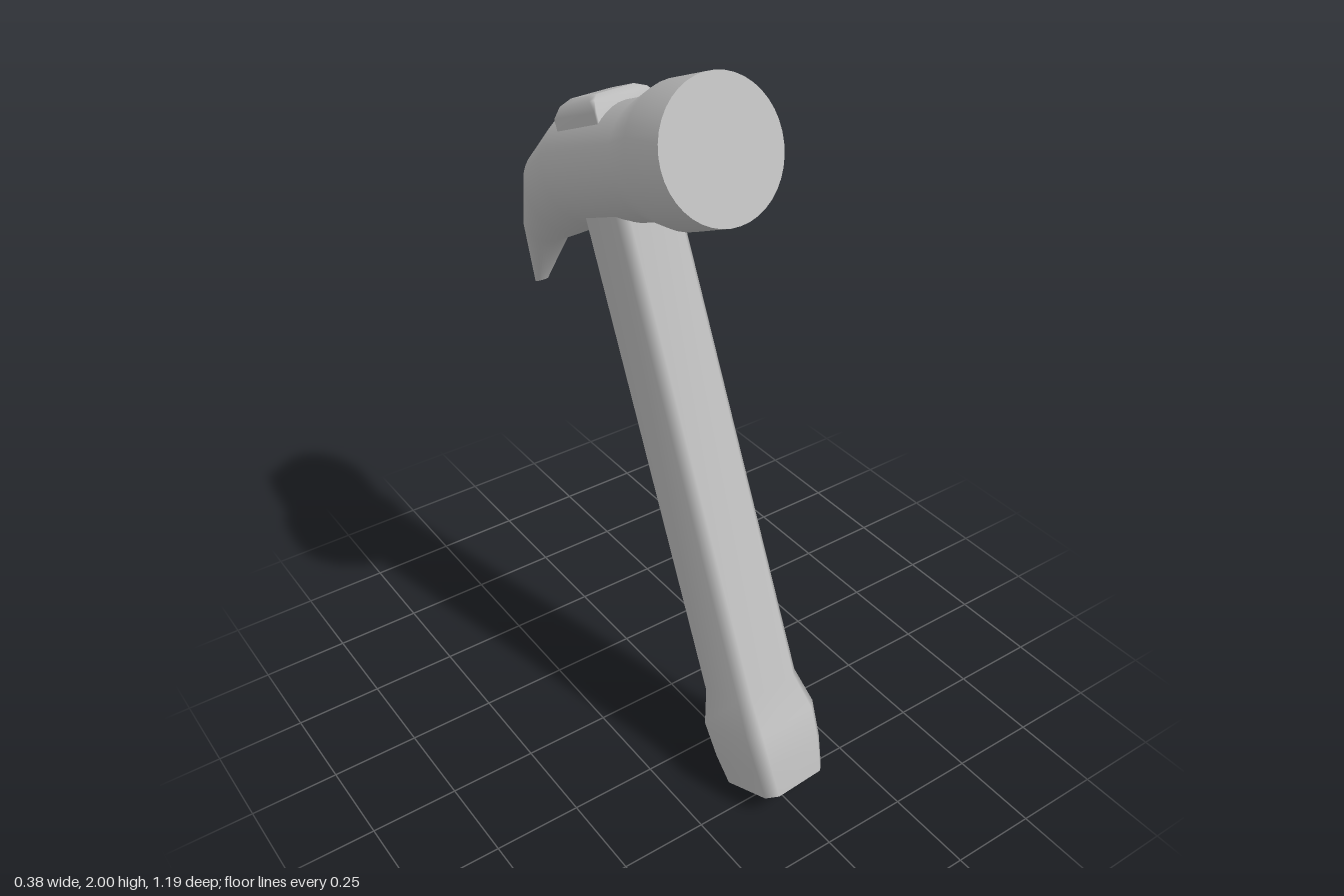
import * as THREE from 'three';

const V = (x, y, z) => new THREE.Vector3(x, y, z);

// Skin a list of closed rings, smooth along the sides, with flat end caps.
function loft(rings) {
  const n = rings[0].length, pos = [], idx = [];
  rings.forEach(r => r.forEach(p => pos.push(p.x, p.y, p.z)));
  for (let k = 0; k < rings.length - 1; k++) {
    for (let i = 0; i < n; i++) {
      const j = (i + 1) % n, a = k * n, b = a + n;
      idx.push(a + i, a + j, b + j, a + i, b + j, b + i);
    }
  }
  const cap = (ring, flip) => {
    const c = ring.reduce((s, p) => s.add(p), V(0, 0, 0)).divideScalar(n);
    const base = pos.length / 3;
    pos.push(c.x, c.y, c.z);
    ring.forEach(p => pos.push(p.x, p.y, p.z));
    for (let i = 0; i < n; i++) {
      const a = base + 1 + i, b = base + 1 + (i + 1) % n;
      idx.push(base, flip ? b : a, flip ? a : b);
    }
  };
  cap(rings[0], true);
  cap(rings[rings.length - 1], false);
  const g = new THREE.BufferGeometry();
  g.setAttribute('position', new THREE.Float32BufferAttribute(pos, 3));
  g.setIndex(idx);
  g.computeVertexNormals();
  return g;
}

// Ellipse spanning a lower and an upper outline point, given as [z, y].
function ellipseRing([top, bottom, w], n = 40) {
  const t = V(0, top[1], top[0]), b = V(0, bottom[1], bottom[0]);
  const c = t.clone().add(b).multiplyScalar(0.5), up = t.clone().sub(c);
  return Array.from({ length: n }, (_, i) => {
    const a = i / n * Math.PI * 2;
    return c.clone().addScaledVector(up, Math.sin(a)).add(V(w * Math.cos(a), 0, 0));
  });
}

// Rectangle with chamfered corners at height y, from z0 (back) to z1 (front).
function chamferRing([y, w, z0, z1, c]) {
  const m = (z0 + z1) / 2, d = (z1 - z0) / 2;
  return [[w, c - d], [w, d - c], [w - c, d], [c - w, d], [-w, d - c], [-w, c - d], [c - w, -d], [w - c, -d]]
    .map(([x, z]) => V(x, y, m + z)).reverse();
}

export function createModel() {
  const steel = new THREE.MeshStandardMaterial({ color: 0xbcbcbc });
  steel.name = 'plain grey';
  const group = new THREE.Group();
  group.name = 'hammer';
  const add = (name, geometry) => {
    const m = new THREE.Mesh(geometry, steel);
    m.name = name;
    group.add(m);
  };

  // Handle: chamfered shaft with a swollen grip end
  add('handle', loft([
    [0, 0.105, -0.11, 0.11, 0.028],
    [0.09, 0.116, -0.122, 0.12, 0.03],
    [0.195, 0.122, -0.13, 0.122, 0.032],
    [0.295, 0.104, -0.104, 0.093, 0.027],
    [1.7, 0.1, -0.1, 0.086, 0.025],
  ].map(chamferRing)));

  // Head: curved claw tip through to the round striking face
  add('head', loft([
    [[-0.571, 1.455], [-0.54, 1.455], 0.02],
    [[-0.478, 1.67], [-0.401, 1.568], 0.073],
    [[-0.344, 1.832], [-0.264, 1.588], 0.12],
    [[-0.164, 1.912], [-0.135, 1.608], 0.15],
    [[0.167, 1.915], [0.167, 1.606], 0.153],
    [[0.279, 1.945], [0.281, 1.578], 0.183],
    [[0.42, 1.945], [0.42, 1.582], 0.184],
  ].map(r => ellipseRing(r))));

  // Handle end showing through the top of the head
  add('handleEnd', loft([
    [1.8, 0.1, -0.108, 0.088, 0.004],
    [1.905, 0.1, -0.108, 0.088, 0.004],
    [1.932, 0.09, -0.09, 0.068, 0.01],
    [1.945, 0.07, -0.07, 0.047, 0.015],
  ].map(chamferRing)));

  // Lean the whole tool back, with a slight yaw and roll
  const rad = THREE.MathUtils.degToRad;
  group.rotation.set(rad(-22.8), rad(4), rad(-0.6), 'YXZ');
  group.position.set(0.008, 0.045, 0.4975);
  const root = new THREE.Group();
  root.name = 'model';
  root.add(group);
  return root;
}
